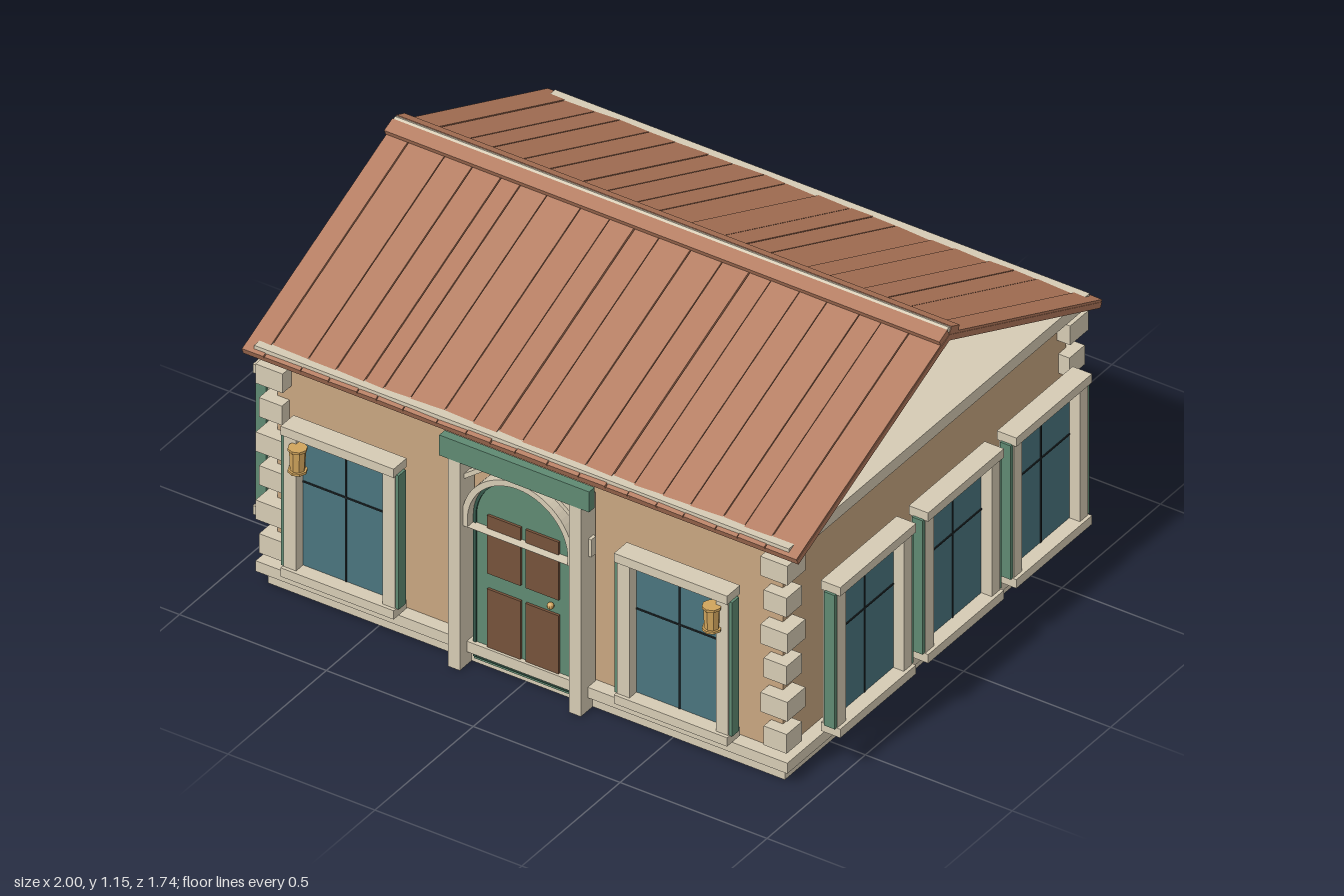
import * as THREE from 'three';

const mat = (color) => new THREE.MeshStandardMaterial({ color, flatShading: true });
const M = {
  wall: mat(0xc8a680), stone: mat(0xd6cbb4), roof: mat(0xb0775a), green: mat(0x5f8a72), darkGreen: mat(0x35574a),
  glass: mat(0x4a747e), wood: mat(0x76523b), gold: mat(0xd0a45c), dark: mat(0x20282a),
};
const ZC = -0.01; // depth centre of the house body

function add(parent, name, geometry, material, x = 0, y = 0, z = 0) {
  const mesh = new THREE.Mesh(geometry, material);
  mesh.name = name;
  mesh.position.set(x, y, z);
  parent.add(mesh);
  return mesh;
}
const box = (parent, name, material, w, h, d, x, y, z) =>
  add(parent, name, new THREE.BoxGeometry(w, h, d), material, x, y, z);

function group(parent, name) {
  const g = new THREE.Group();
  g.name = name;
  parent.add(g);
  return g;
}

// Window facing +z; its back plane lies at z = 0
function makeWindow(parent, x, z, turn) {
  const g = group(parent, 'window');
  g.position.set(x, 0, z);
  g.rotation.y = turn;
  box(g, 'lintel', M.stone, 0.385, 0.03, 0.066, 0, 0.633, 0.033);
  box(g, 'sill', M.stone, 0.385, 0.03, 0.066, 0, 0.146, 0.033);
  box(g, 'glass', M.glass, 0.31, 0.46, 0.014, 0, 0.39, 0.012);
  box(g, 'mullion', M.dark, 0.005, 0.46, 0.004, 0, 0.39, 0.02);
  box(g, 'transom', M.dark, 0.3, 0.005, 0.004, 0, 0.45, 0.02);
  for (const s of [-1, 1]) {
    box(g, 'jamb', M.stone, 0.042, 0.46, 0.05, s * 0.168, 0.39, 0.03);
    box(g, 'shutter', M.green, 0.013, 0.46, 0.036, s * 0.194, 0.39, 0.034);
  }
}

// One roof slope running down towards +z from the ridge, made of uneven planks
function makeSlope(parent, turn, seed) {
  const pivot = group(parent, 'roofSlope');
  pivot.rotation.y = turn;
  const slope = group(pivot, 'planks');
  slope.rotation.x = Math.atan(0.43);
  const length = 0.845, width = 1.89, count = 20;
  const rand = () => (seed = (seed * 16807) % 2147483647) / 2147483647;
  box(slope, 'roofDeck', M.roof, width, 0.018, length, 0, -0.013, length / 2);
  let x = -width / 2;
  for (let i = 0; i < count; i++) {
    const end = i === count - 1 ? width / 2 : -width / 2 + (width * (i + 1 + (rand() - 0.5) * 0.4)) / count;
    const plank = box(slope, 'plank', M.roof, end - x - 0.003, 0.008, length,
      (x + end) / 2, -0.003 + rand() * 0.003, length / 2);
    plank.rotation.z = (rand() - 0.5) * 0.05;
    x = end;
  }
  box(slope, 'ridgeBoard', M.roof, width, 0.018, 0.045, 0, 0.012, 0.025);
}

// Arched outline standing on y = bottom
function archShape(radius, spring, bottom) {
  const s = new THREE.Shape();
  s.moveTo(radius, bottom);
  s.lineTo(radius, spring);
  s.absarc(0, spring, radius, 0, Math.PI, false);
  s.lineTo(-radius, bottom);
  s.closePath();
  return s;
}
const extrude = (shape, depth) =>
  new THREE.ExtrudeGeometry(shape, { depth, bevelEnabled: false, curveSegments: 16 });

function makeEntrance(parent) {
  const g = group(parent, 'entrance');
  add(g, 'door', extrude(archShape(0.172, 0.515, 0.02), 0.04), M.green, 0, 0, 0.7);
  // Dark rebate and pale arch around the door
  const ring = (outer, inner, bottom) => {
    const s = archShape(outer, 0.515, bottom);
    s.holes.push(archShape(inner, 0.515, bottom + 0.001));
    return s;
  };
  add(g, 'doorRebate', extrude(ring(0.172, 0.162, 0.03), 0.005), M.darkGreen, 0, 0, 0.74);
  add(g, 'doorArch', extrude(ring(0.19, 0.171, 0.49), 0.055), M.stone, 0, 0, 0.72);
  for (const s of [-1, 1]) {
    box(g, 'doorPost', M.stone, 0.04, 0.73, 0.075, s * 0.206, 0.365, 0.753);
    box(g, 'upperDoorPanel', M.wood, 0.113, 0.2, 0.01, s * 0.065, 0.435, 0.743);
    box(g, 'lowerDoorPanel', M.wood, 0.113, 0.2, 0.01, s * 0.065, 0.182, 0.743);
    const brace = box(g, 'archBrace', M.stone, 0.075, 0.014, 0.03, s * 0.158, 0.678, 0.755);
    brace.rotation.z = -s * 0.65;
    box(g, 'sideBracket', M.stone, 0.014, 0.06, 0.025, s * 0.229, 0.56, 0.74);
  }
  add(g, 'doorKnob', new THREE.SphereGeometry(0.011, 10, 8), M.gold, 0.097, 0.31, 0.752);
  box(g, 'signBoard', M.green, 0.51, 0.07, 0.028, 0, 0.75, 0.778);
}

function makeLantern(parent, x) {
  const g = group(parent, 'lantern');
  g.position.set(x, 0.555, 0.84);
  add(g, 'lanternBody', new THREE.CylinderGeometry(0.025, 0.022, 0.075, 8), M.gold);
  for (const y of [-0.036, 0.038])
    add(g, 'lanternRim', new THREE.CylinderGeometry(0.029, 0.029, 0.008, 8), M.gold, 0, y, 0);
}

export function createModel() {
  const house = new THREE.Group();
  house.name = 'house';

  // Body, stepped plinth and ceiling slab; the gables stay open
  box(house, 'walls', M.wall, 1.72, 0.72, 1.44, 0, 0.43, ZC);
  box(house, 'lowerPlinth', M.stone, 1.76, 0.045, 1.48, 0, 0.0225, ZC);
  box(house, 'upperPlinth', M.stone, 1.81, 0.036, 1.53, 0, 0.063, ZC);
  box(house, 'ceilingSlab', M.stone, 1.82, 0.04, 1.53, 0, 0.8, ZC);

  // Corner stones, alternating long and short
  for (const sx of [-1, 1]) for (const sz of [-1, 1]) {
    for (let i = 0; i < 6; i++) {
      const size = i % 2 ? 0.092 : 0.078;
      box(house, 'cornerStone', M.stone, size, 0.066, size,
        sx * (0.905 - 0.046), 0.14 + i * 0.117, ZC + sz * (0.765 - 0.046));
    }
  }

  // Windows: two in front, three on every other side
  for (const x of [-0.57, 0.565]) makeWindow(house, x, 0.775, 0);
  for (const x of [-0.535, 0, 0.53]) makeWindow(house, x, -0.804, Math.PI);
  for (const z of [-0.46, -0.012, 0.435])
    for (const s of [-1, 1]) makeWindow(house, s * 0.934, z, (s * Math.PI) / 2);

  makeEntrance(house);
  for (const s of [-1, 1]) makeLantern(house, s * 0.705);

  // Roof
  const roof = group(house, 'roof');
  roof.position.set(0, 1.135, ZC);
  makeSlope(roof, 0, 17);
  makeSlope(roof, Math.PI, 91);
  const ridge = add(roof, 'ridgeBeam', new THREE.CylinderGeometry(0.018, 0.018, 1.885, 8), M.stone, 0, 0.002, 0);
  ridge.rotation.z = Math.PI / 2;

  return house;
}
